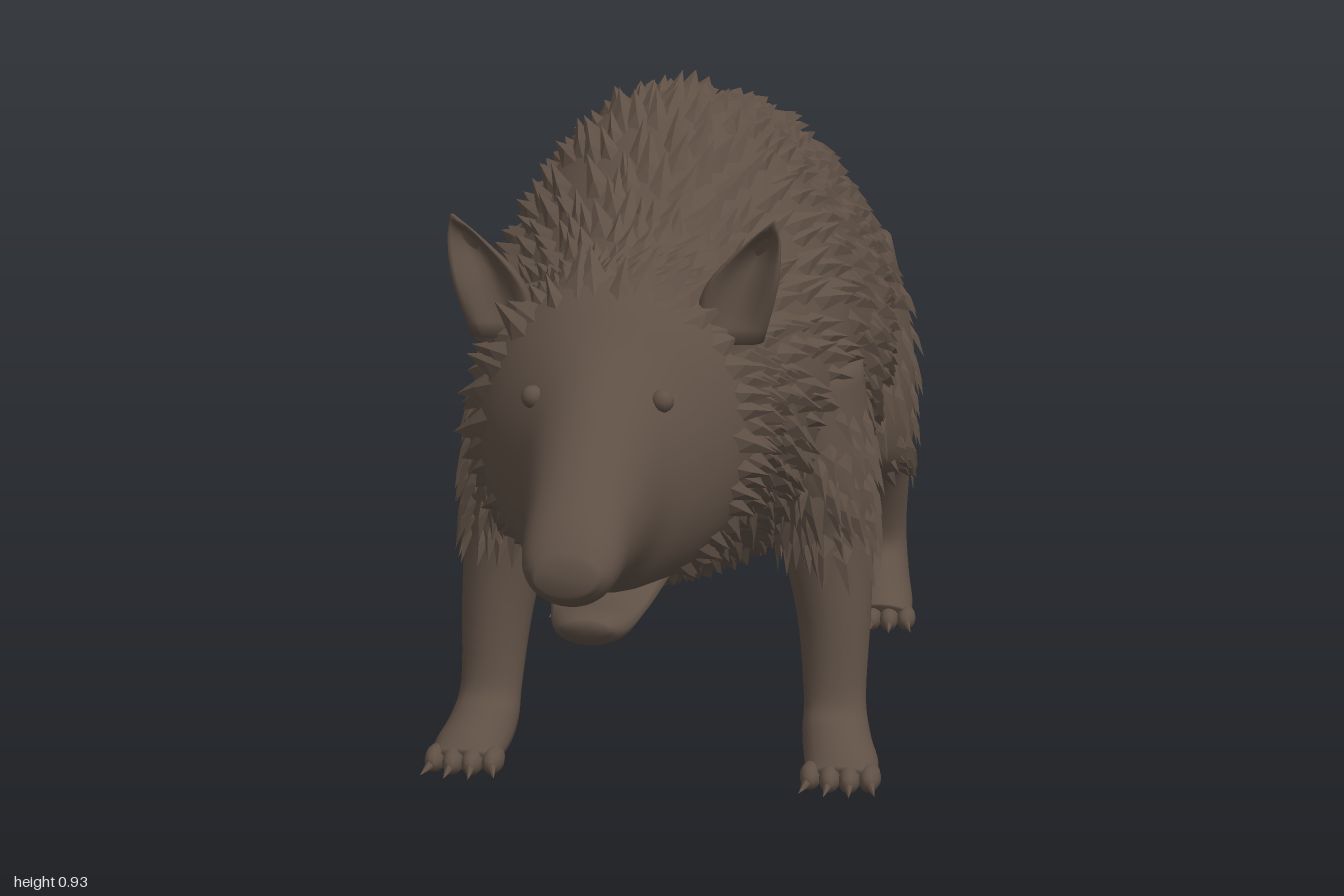
import * as THREE from 'three';

const furBrown = new THREE.MeshStandardMaterial({ color: 0x5f5045, side: THREE.DoubleSide });
furBrown.name = 'furBrown';

// Surface through sections [zA, yA, zB, yB, x, halfWidth]; A and B are opposite edges.
function makeSampler(rows, shape) {
  const curve = (f) => new THREE.CatmullRomCurve3(rows.map(f), false, 'catmullrom', 0.5);
  const edgeA = curve((r) => new THREE.Vector3(r[4], r[1], r[0]));
  const edgeB = curve((r) => new THREE.Vector3(r[5], r[3], r[2]));
  return (t, a) => {
    const A = edgeA.getPoint(t), B = edgeB.getPoint(t);
    const c = Math.cos(a);
    const p = new THREE.Vector3(
      B.x * Math.sin(a),
      (A.y + B.y) / 2 + c * (A.y - B.y) / 2,
      (A.z + B.z) / 2 + c * (A.z - B.z) / 2);
    if (shape) shape(p, a, t);
    p.x += A.x;
    return p;
  };
}

function loft(sample, steps, sides) {
  const pos = [], index = [];
  for (let i = -1; i <= steps + 1; i++) {
    const t = Math.min(1, Math.max(0, i / steps));
    const ring = [];
    for (let j = 0; j < sides; j++) ring.push(sample(t, (j / sides) * Math.PI * 2));
    if (i < 0 || i > steps) { // close the end
      const mid = ring.reduce((s, p) => s.add(p), new THREE.Vector3()).divideScalar(sides);
      ring.forEach((p) => p.copy(mid));
    }
    ring.forEach((p) => pos.push(p.x, p.y, p.z));
  }
  for (let i = 0; i < steps + 2; i++) {
    for (let j = 0; j < sides; j++) {
      const k = (j + 1) % sides, a = i * sides, b = a + sides;
      index.push(a + j, a + k, b + j, a + k, b + k, b + j);
    }
  }
  const g = new THREE.BufferGeometry();
  g.setAttribute('position', new THREE.Float32BufferAttribute(pos, 3));
  g.setIndex(index);
  g.computeVertexNormals();
  return g;
}

let seed = 7;
const rand = () => (seed = (seed * 16807) % 2147483647) / 2147483647;

// Overlapping pointed tufts lying back along a surface.
function tufts(sample, t0, t1, rows, cols, length, sag) {
  const pos = [];
  for (let i = 0; i < rows; i++) {
    for (let j = 0; j < cols; j++) {
      const t = t0 + (t1 - t0) * (i + rand()) / rows;
      const a = (j + (i % 2) / 2 + rand() * 0.6) / cols * Math.PI * 2;
      const p = sample(t, a);
      const du = sample(t + 0.005, a).sub(p).normalize();
      const da = sample(t, a + 0.02).sub(p).normalize();
      const n = da.clone().cross(du).normalize();
      const dir = du.clone().addScaledVector(da, sag * Math.sin(a) + (rand() - 0.5) * 0.3).normalize();
      const side = n.clone().cross(dir);
      const len = length * (0.7 + 0.6 * rand());
      const at = (s, d, h) => p.clone().addScaledVector(side, s * len).addScaledVector(dir, d * len).addScaledVector(n, h);
      const L = at(-0.24, 0.1, -0.003), R = at(0.24, 0.1, -0.003);
      const root = at(0, -0.25, -0.004), ridge = at(0, 0.35, 0.009), tip = at(0, 1, 0.012);
      for (const v of [root, R, ridge, R, tip, ridge, tip, L, ridge, L, root, ridge]) pos.push(v.x, v.y, v.z);
    }
  }
  const g = new THREE.BufferGeometry();
  g.setAttribute('position', new THREE.Float32BufferAttribute(pos, 3));
  g.computeVertexNormals();
  return g;
}

export function createModel() {
  const model = new THREE.Group();
  model.name = 'furryAnimal';
  const add = (name, geometry, parent = model) => {
    const m = new THREE.Mesh(geometry, furBrown);
    m.name = name;
    parent.add(m);
    return m;
  };

  // Head and body: z, top, bottom, half width
  const bodyRows = [
    [1.0, 0.47, 0.43, 0.035], [0.97, 0.51, 0.41, 0.055], [0.9, 0.57, 0.405, 0.065],
    [0.82, 0.635, 0.395, 0.085], [0.77, 0.675, 0.37, 0.115], [0.7, 0.735, 0.355, 0.16],
    [0.62, 0.74, 0.35, 0.18], [0.5, 0.75, 0.34, 0.185], [0.4, 0.795, 0.3, 0.21],
    [0.28, 0.88, 0.265, 0.245], [0.16, 0.912, 0.25, 0.25], [0, 0.865, 0.23, 0.27],
    [-0.12, 0.857, 0.22, 0.268], [-0.28, 0.85, 0.235, 0.25], [-0.42, 0.785, 0.25, 0.255],
    [-0.53, 0.715, 0.29, 0.235], [-0.6, 0.655, 0.36, 0.19], [-0.63, 0.58, 0.42, 0.13],
  ].map(([z, top, bottom, w]) => [z, top, z, bottom, 0, w]);
  const body = makeSampler(bodyRows, (p, a, t) => {
    const back = THREE.MathUtils.smoothstep(t, 0.35, 0.55);
    p.x *= 1 - 0.16 * back * Math.max(0, Math.cos(a));
  });
  add('body', loft(body, 68, 36));
  add('bodyFur', tufts(body, 0.28, 0.92, 36, 38, 0.07, 0.5));

  // Muzzle
  add('lowerJaw', loft(makeSampler([
    [0.875, 0.365, 0.87, 0.345, 0, 0.025], [0.85, 0.374, 0.84, 0.328, 0, 0.045],
    [0.78, 0.375, 0.77, 0.345, 0, 0.06], [0.68, 0.42, 0.68, 0.36, 0, 0.08],
  ]), 12, 16));
  const nose = add('nose', new THREE.SphereGeometry(1, 16, 12));
  nose.scale.set(0.052, 0.032, 0.03);
  nose.position.set(0, 0.455, 0.965);

  // Tail and its forked tuft
  add('tail', loft(makeSampler([
    [-0.42, 0.78, -0.42, 0.45, 0, 0.1], [-0.58, 0.715, -0.58, 0.43, 0, 0.085],
    [-0.72, 0.645, -0.64, 0.37, 0, 0.095], [-0.86, 0.575, -0.7, 0.29, 0, 0.11],
    [-0.94, 0.5, -0.76, 0.22, 0, 0.108], [-0.985, 0.37, -0.82, 0.17, 0, 0.08],
    [-0.96, 0.24, -0.87, 0.15, 0, 0.045], [-0.925, 0.15, -0.905, 0.145, 0, 0.01],
  ]), 35, 24));
  for (const [z, y] of [[-0.945, 0.662], [-0.995, 0.635]]) {
    add('tailTuft', loft(makeSampler([
      [-0.85, 0.54, -0.94, 0.51, 0, 0.025], [-0.885, 0.6, -0.935, 0.575, 0, 0.022],
      [z + 0.03, y - 0.03, z + 0.005, y - 0.04, 0, 0.014], [z, y, z, y, 0, 0.002],
    ]), 9, 10));
  }

  const foreRows = [
    [0.12, 0.56, 0.36, 0.56, 0.19, 0.07], [0.13, 0.42, 0.36, 0.42, 0.205, 0.072],
    [0.17, 0.33, 0.335, 0.33, 0.215, 0.065], [0.225, 0.22, 0.335, 0.22, 0.23, 0.05],
    [0.27, 0.11, 0.345, 0.12, 0.235, 0.042], [0.295, 0.05, 0.37, 0.09, 0.24, 0.046],
    [0.33, 0.02, 0.4, 0.065, 0.25, 0.05], [0.4, 0.015, 0.42, 0.045, 0.255, 0.045],
  ];
  const hindRows = [
    [-0.55, 0.62, -0.3, 0.62, 0.16, 0.08], [-0.6, 0.46, -0.27, 0.44, 0.195, 0.08],
    [-0.58, 0.36, -0.3, 0.3, 0.205, 0.073], [-0.555, 0.26, -0.41, 0.23, 0.215, 0.055],
    [-0.585, 0.15, -0.47, 0.13, 0.22, 0.042], [-0.56, 0.06, -0.44, 0.09, 0.225, 0.044],
    [-0.5, 0.012, -0.4, 0.06, 0.23, 0.05], [-0.41, 0.008, -0.38, 0.045, 0.235, 0.045],
  ];
  const earRows = [
    [0.69, 0.66, 0.61, 0.66, 0.135, 0.045], [0.705, 0.73, 0.635, 0.73, 0.155, 0.044],
    [0.69, 0.78, 0.66, 0.78, 0.18, 0.023], [0.682, 0.812, 0.677, 0.812, 0.196, 0.002],
  ];

  for (const s of [1, -1]) {
    const side = s > 0 ? 'left' : 'right';
    const mirror = (rows) => rows.map((r) => [...r.slice(0, 4), r[4] * s, r[5]]);

    // Ear, hollowed at the front
    add(side + 'Ear', loft(makeSampler(mirror(earRows), (p, a, t) => {
      p.z -= 0.05 * Math.max(0, Math.cos(a)) ** 3 * Math.sin(Math.PI * Math.min(1, t + 0.1));
    }), 12, 20));

    // Eye set on the face
    const eye = add(side + 'Eye', new THREE.SphereGeometry(0.014, 10, 8));
    eye.position.copy(body(0.215, s * 0.85));

    // Legs with fur on the upper part, and feet with clawed toes
    for (const [name, rows, toeZ, toeX, floor] of [
      ['FrontLeg', foreRows, 0.415, 0.253, 0.012], ['HindLeg', hindRows, -0.385, 0.235, 0.004]]) {
      const leg = new THREE.Group();
      leg.name = side + name;
      model.add(leg);
      const surface = makeSampler(mirror(rows));
      add('limb', loft(surface, 35, 18), leg);
      add('limbFur', tufts(surface, 0.05, name === 'HindLeg' ? 0.42 : 0.3, 9, 13, 0.055, 0), leg);
      for (let i = 0; i < 4; i++) {
        const f = i - 1.5;
        const x = s * (toeX + f * 0.026), z = toeZ - Math.abs(f) * 0.008;
        const toe = add('toe', new THREE.SphereGeometry(1, 10, 8), leg);
        toe.scale.set(0.015, 0.018, 0.032);
        toe.position.set(x, floor + 0.019, z);
        const claw = add('claw', new THREE.ConeGeometry(0.008, 0.034, 6), leg);
        claw.rotation.set(Math.PI / 2 + 0.25, 0, -s * f * 0.2);
        claw.position.set(x + s * f * 0.004, floor + 0.014, z + 0.036);
      }
    }
  }
  return model;
}
